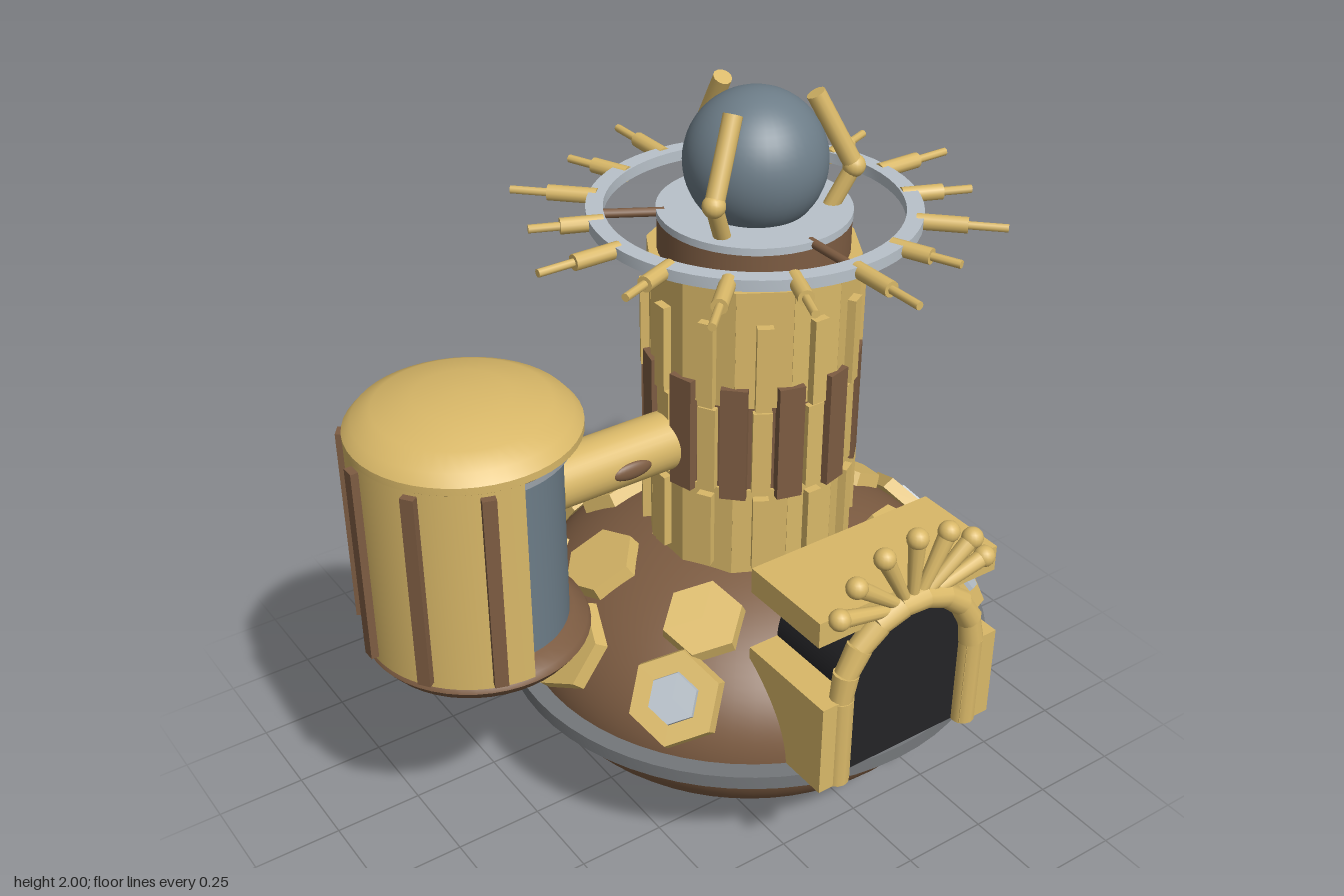
import * as THREE from 'three';
import { toCreasedNormals } from 'three/addons/utils/BufferGeometryUtils.js';

const mat = (color, side = THREE.FrontSide) => new THREE.MeshStandardMaterial({ color, side });
const tan = mat(0xd9b868), brown = mat(0x7d5c42), slate = mat(0x6d7d88);
const pale = mat(0xb9c2ca), steel = mat(0x74777a), dark = mat(0x232326);
const V = (x, y, z) => new THREE.Vector3(x, y, z);

function add(parent, name, geo, material, x = 0, y = 0, z = 0) {
  const m = new THREE.Mesh(geo, material);
  m.name = name;
  m.position.set(x, y, z);
  parent.add(m);
  return m;
}

// Round bar between two points
function rod(parent, name, a, b, r0, r1, material, sides = 12) {
  const d = b.clone().sub(a);
  const m = add(parent, name, new THREE.CylinderGeometry(r1, r0, d.length(), sides), material);
  m.position.copy(a).addScaledVector(d, 0.5);
  m.quaternion.setFromUnitVectors(V(0, 1, 0), d.normalize());
  return m;
}

// Point on a circle; angle runs from +x towards -z
const polar = (r, deg, y) => {
  const a = deg * Math.PI / 180;
  return V(r * Math.cos(a), y, -r * Math.sin(a));
};

// Upright block standing on a circle and facing outwards
function slab(parent, name, deg, r, w, y0, y1, t, material) {
  const m = add(parent, name, new THREE.BoxGeometry(t, y1 - y0, w), material);
  m.position.copy(polar(r - t / 2, deg, (y0 + y1) / 2));
  m.rotation.y = deg * Math.PI / 180;
}

const lathe = (pts, n = 48) =>
  toCreasedNormals(new THREE.LatheGeometry(pts.map(p => new THREE.Vector2(...p)), n), 0.7);

const A = 0.65, B = 0.41, Y0 = 0.365; // dome radius, height and base level

// Six-sided plate lying on the dome, optionally with a window
function hexPlate(parent, deg, y, size, window) {
  const r = A * Math.sqrt(1 - ((y - Y0) / B) ** 2);
  const p = polar(r, deg, y);
  const n = V(p.x / A ** 2, (y - Y0) / B ** 2, p.z / A ** 2).normalize();
  const g = new THREE.Group();
  g.name = window ? 'windowPlate' : 'hullPlate';
  g.position.copy(p).addScaledVector(n, 0.012);
  g.rotation.set(-Math.asin(n.y), Math.atan2(n.x, n.z), 0, 'YXZ');
  const hex = (s, t) => toCreasedNormals(
    new THREE.CylinderGeometry(s * 0.95, s, t, 6).rotateX(Math.PI / 2), 0.3);
  add(g, 'plate', hex(size, 0.04), tan);
  if (window) add(g, 'windowPane', hex(size * 0.54, 0.02), pale, 0, 0, 0.022);
  parent.add(g);
}

function buildBase(g) {
  const dome = new THREE.SphereGeometry(1, 64, 24, 0, Math.PI * 2, 0, Math.PI / 2);
  add(g, 'upperHull', dome, brown, 0, Y0, 0).scale.set(A, B, A);
  const bowl = new THREE.SphereGeometry(1, 64, 24, 0, Math.PI * 2, Math.PI / 2, Math.PI / 2);
  add(g, 'lowerHull', bowl, brown, 0, Y0, 0).scale.set(A, Y0, A);
  add(g, 'rimRing', lathe([[0.63, 0.345], [0.7, 0.345], [0.7, 0.385], [0.63, 0.385]], 64), steel);
  // Gaps in both rings leave room for the doorway
  for (let i = 0; i < 10; i++)
    if (i !== 7 && i !== 8) hexPlate(g, i * 36, 0.535, 0.135, [0, 3, 6, 9].includes(i));
  for (let i = 1; i < 7; i++) hexPlate(g, 270 + i * 360 / 7, 0.672, 0.115, i === 4);
}

function buildTower(g) {
  add(g, 'towerCore', new THREE.CylinderGeometry(0.25, 0.25, 0.96, 48), brown, 0, 1.1, 0);
  add(g, 'collar', new THREE.CylinderGeometry(0.25, 0.25, 0.1, 48), brown, 0, 1.62, 0);
  add(g, 'topDeck', new THREE.CylinderGeometry(0.252, 0.252, 0.02, 48), pale, 0, 1.68, 0);
  for (let i = 0; i < 12; i++) {
    const a = i * 30;
    slab(g, 'lowerPanel', a, 0.272, 0.145, 0.7, 1.0, 0.05, tan);
    slab(g, 'middlePanel', a, 0.265, 0.14, 1.0, 1.27, 0.05, brown);
    slab(g, 'upperPanel', a, 0.272, 0.145, 1.25, 1.58, 0.05, tan);
    slab(g, 'lowerRib', a, 0.295, 0.042, 0.76, 0.98, 0.04, tan);
    slab(g, 'middleRib', a, 0.285, 0.05, 1.0, 1.24, 0.04, tan);
    slab(g, 'upperRib', a, 0.295, 0.042, 1.25, 1.49, 0.04, tan);
    slab(g, 'cornerRib', a + 15, 0.292, 0.07, 0.98, 1.31, 0.03, brown);
  }
}

function buildCrown(g) {
  add(g, 'orb', new THREE.SphereGeometry(0.185, 40, 28), slate, 0, 1.815, 0);
  // Three jointed claws hold the orb
  for (const a of [90, 210, 330]) {
    const foot = polar(0.195, a, 1.68), elbow = polar(0.25, a, 1.79), tip = polar(0.145, a, 1.985);
    rod(g, 'clawFoot', foot, elbow, 0.022, 0.022, tan);
    rod(g, 'clawFinger', elbow, tip, 0.025, 0.025, tan);
    add(g, 'clawJoint', new THREE.SphereGeometry(0.03, 16, 12), tan).position.copy(elbow);
  }
  // Halo with spikes and struts
  add(g, 'halo', lathe([[0.385, 1.665], [0.43, 1.665], [0.43, 1.695], [0.385, 1.695], [0.385, 1.665]], 64), pale);
  for (const a of [30, 150, 270])
    rod(g, 'haloStrut', polar(0.23, a, 1.68), polar(0.4, a, 1.68), 0.012, 0.012, brown);
  for (let i = 0; i < 16; i++) {
    const a = i * 22.5, s = i % 2 ? 0.04 : 0;
    rod(g, 'spikeSocket', polar(0.41 - s / 2, a, 1.68), polar(0.54 - s, a, 1.68), 0.021, 0.021, tan);
    rod(g, 'spikeTip', polar(0.53 - s, a, 1.68), polar(0.64 - s * 1.5, a, 1.68), 0.011, 0.011, tan, 8);
  }
}

function buildDoorway(g) {
  const arch = new THREE.Shape();
  arch.moveTo(-0.2, 0.385);
  arch.lineTo(0.2, 0.385);
  arch.absarc(0, 0.655, 0.2, 0, Math.PI, false);
  arch.closePath();
  const hall = new THREE.ExtrudeGeometry(arch, { depth: 0.28, bevelEnabled: false, curveSegments: 24 });
  add(g, 'doorHall', toCreasedNormals(hall, 0.5), dark, 0, 0, 0.41);
  add(g, 'doorRoof', new THREE.BoxGeometry(0.58, 0.075, 0.28), tan, 0, 0.878, 0.55);
  for (const s of [-1, 1]) {
    add(g, 'doorWall', new THREE.BoxGeometry(0.1, 0.275, 0.31), tan, s * 0.24, 0.5225, 0.565);
    rod(g, 'doorPost', V(s * 0.218, 0.385, 0.7), V(s * 0.218, 0.655, 0.7), 0.034, 0.034, tan);
  }
  // Arch of short tapered segments
  const at = a => V(0.218 * Math.cos(a), 0.655 + 0.218 * Math.sin(a), 0.7);
  const n = 9;
  for (let i = 0; i < n; i++)
    rod(g, 'archSegment', at(i * Math.PI / n), at((i + 1.08) * Math.PI / n), 0.035, 0.031, tan);
  // Fan of ball-tipped fingers
  for (let i = -3; i <= 3; i++) {
    const a = i * 25 * Math.PI / 180;
    const tip = V(0.245 * Math.sin(a), 0.86 + 0.2 * Math.cos(a), 0.7);
    rod(g, 'fanFinger', V(0.03 * Math.sin(a), 0.86, 0.7), tip, 0.014, 0.024, tan);
    add(g, 'fanBall', new THREE.SphereGeometry(0.029, 16, 12), tan).position.copy(tip);
  }
}

function buildPod(root) {
  const g = new THREE.Group();
  g.name = 'sidePod';
  g.position.set(-0.635, 0, -0.01);
  root.add(g);
  add(g, 'tank', new THREE.CylinderGeometry(0.238, 0.238, 0.6, 48), slate, 0, 1.04, 0);
  add(g, 'podCap', lathe([[0, 1.31], [0.275, 1.31], [0.293, 1.325], [0.293, 1.345], [0.27, 1.372],
    [0.22, 1.398], [0.12, 1.422], [0, 1.43]]), tan);
  add(g, 'capLip', new THREE.CylinderGeometry(0.275, 0.265, 0.03, 48), pale, 0, 1.3, 0);
  add(g, 'podFoot', lathe([[0, 0.65], [0.12, 0.656], [0.22, 0.678], [0.27, 0.705], [0.293, 0.735],
    [0.285, 0.755], [0.25, 0.775], [0, 0.775]]), brown);
  // Half shell around the outer side, with ribs
  const s = new THREE.Shape();
  s.absarc(0, 0, 0.292, Math.PI / 2, Math.PI * 1.5, false);
  s.absarc(0, 0, 0.232, Math.PI * 1.5, Math.PI / 2, true);
  s.closePath();
  const shell = new THREE.ExtrudeGeometry(s, { depth: 0.575, bevelEnabled: false, curveSegments: 24 });
  add(g, 'halfShell', toCreasedNormals(shell.rotateX(-Math.PI / 2), 0.5), tan, 0, 0.75, 0);
  for (let i = -2; i <= 2; i++) slab(g, 'shellRib', 180 + i * 36, 0.312, 0.035, 0.765, 1.315, 0.04, brown);
  // Arm to the tower, with an oval boss on each side
  rod(g, 'arm', V(0.23, 1.085, 0), V(0.64, 1.085, 0), 0.08, 0.08, tan, 32);
  for (const z of [-1, 1])
    add(g, 'armBoss', new THREE.SphereGeometry(1, 24, 16), brown, 0.435, 1.085, z * 0.075)
      .scale.set(0.06, 0.025, 0.015);
}

export function createModel() {
  const root = new THREE.Group();
  root.name = 'towerStation';
  const main = { base: buildBase, tower: buildTower, crown: buildCrown, doorway: buildDoorway };
  for (const [name, build] of Object.entries(main)) {
    const g = new THREE.Group();
    g.name = name;
    g.position.set(0.23, 0, -0.01);
    build(g);
    root.add(g);
  }
  buildPod(root);
  return root;
}
